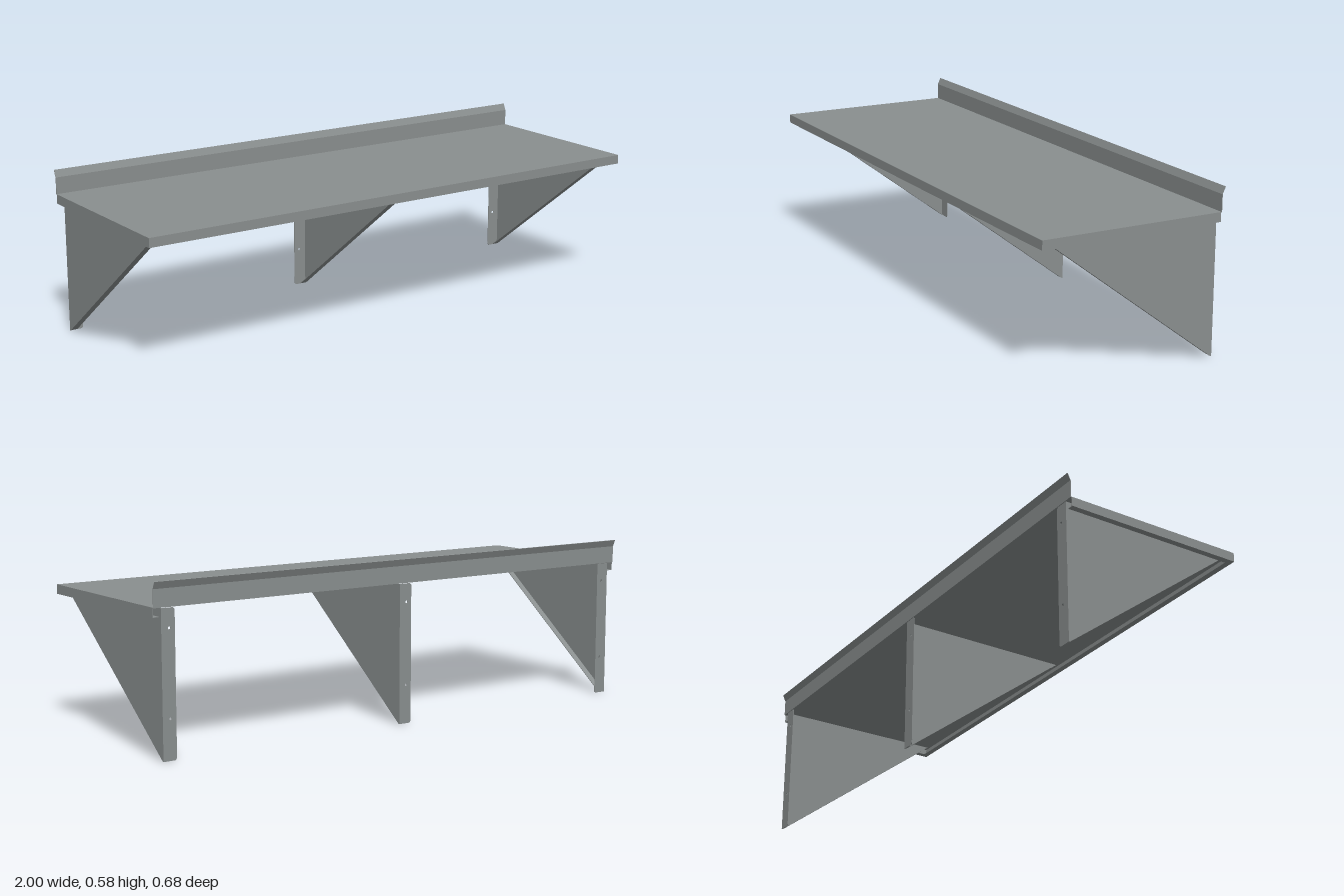
import * as THREE from 'three';

const T = 0.002;                        // sheet thickness
const FRONT = 0.34, BACK = -0.329;      // shelf depth limits
const TOP = 0.501, RIM = 0.468;         // shelf top and lower edge of its rim
const material = new THREE.MeshStandardMaterial({ color: 0x8a8f8f, side: THREE.DoubleSide });

function part(name, geometry, parent) {
  const mesh = new THREE.Mesh(geometry, material);
  mesh.name = name;
  parent.add(mesh);
  return mesh;
}

// Box given by its limits on each axis
function box(x0, x1, y0, y1, z0, z1) {
  return new THREE.BoxGeometry(x1 - x0, y1 - y0, z1 - z0)
    .translate((x0 + x1) / 2, (y0 + y1) / 2, (z0 + z1) / 2);
}

function outline(points) {
  return new THREE.Shape(points.map(([a, b]) => new THREE.Vector2(a, b)));
}

function extrude(shape, depth) {
  return new THREE.ExtrudeGeometry(shape, { depth, bevelEnabled: false, curveSegments: 6 });
}

// Side profile of [z, y] points, extruded from x0 to x1
function sideProfile(points, x0, x1) {
  return extrude(outline(points), x1 - x0).rotateY(-Math.PI / 2).translate(x1, 0, 0);
}

function createShelf() {
  const shelf = new THREE.Group();
  shelf.name = 'shelf';
  part('shelfTop', box(-1, 1, TOP - T, TOP, BACK + T, FRONT), shelf);
  part('frontRim', box(-1, 1, RIM, TOP - T, FRONT - T, FRONT), shelf);
  for (const s of [-1, 1]) {
    part('sideRim', box(-T / 2, T / 2, RIM, TOP - T, -0.325, FRONT - T), shelf)
      .position.x = s * (1 - T / 2);
  }

  // Lip folded inwards under the front and side rims
  const w = 0.02, e = 1 - T, f = FRONT - T, b = -0.323;
  const lip = outline([[-e, b], [-e, f], [e, f], [e, b], [e - w, b], [e - w, f - w], [w - e, f - w], [w - e, b]]);
  part('rimLip', extrude(lip, T).rotateX(Math.PI / 2).translate(0, RIM + T, 0), shelf);

  // Upstand along the back, its top edge bent backwards
  part('backUpstand', sideProfile([
    [BACK, TOP - T], [BACK + T, TOP - T], [BACK + T, 0.56], [-0.3385, 0.585], [-0.34, 0.584], [BACK, 0.56],
  ], -1, 1), shelf);
  return shelf;
}

// Bracket with its web at x and flanges folded towards d (+1 or -1)
function createBracket(name, x, d) {
  const bracket = new THREE.Group();
  bracket.name = name;
  bracket.position.x = x;
  const top = 0.497, back = -0.328, width = 0.05, lip = 0.025, cut = 0.006;
  const span = (w) => (d > 0 ? [0, w] : [-w, 0]);

  // Triangular web
  part('web', sideProfile([[back, 0], [-0.324, 0], [0.327, top], [back, top]], ...span(T)), bracket);

  // Back flange with clipped corners and two screw holes
  const flange = outline([
    [0, 0], [d * (width - cut), 0], [d * width, cut], [d * width, top - cut], [d * (width - cut), top], [0, top],
  ]);
  for (const y of [0.138, 0.432]) {
    const hole = new THREE.Path();
    hole.absarc(d * 0.029, y, 0.005, 0, Math.PI * 2, false);
    flange.holes.push(hole);
  }
  part('backFlange', extrude(flange, T).translate(0, 0, back), bracket);

  // Narrow stiffening flange along the slope
  part('slopeFlange', sideProfile([
    [-0.322, 0.0015], [0.29, 0.4685], [0.2885, 0.4705], [-0.3235, 0.0035],
  ], ...span(lip)), bracket);
  return bracket;
}

export function createModel() {
  const model = new THREE.Group();
  model.name = 'wallShelf';
  model.add(
    createShelf(),
    createBracket('rightBracket', -0.972, 1),
    createBracket('middleBracket', 0.022, -1),
    createBracket('leftBracket', 0.972, -1),
  );
  return model;
}
